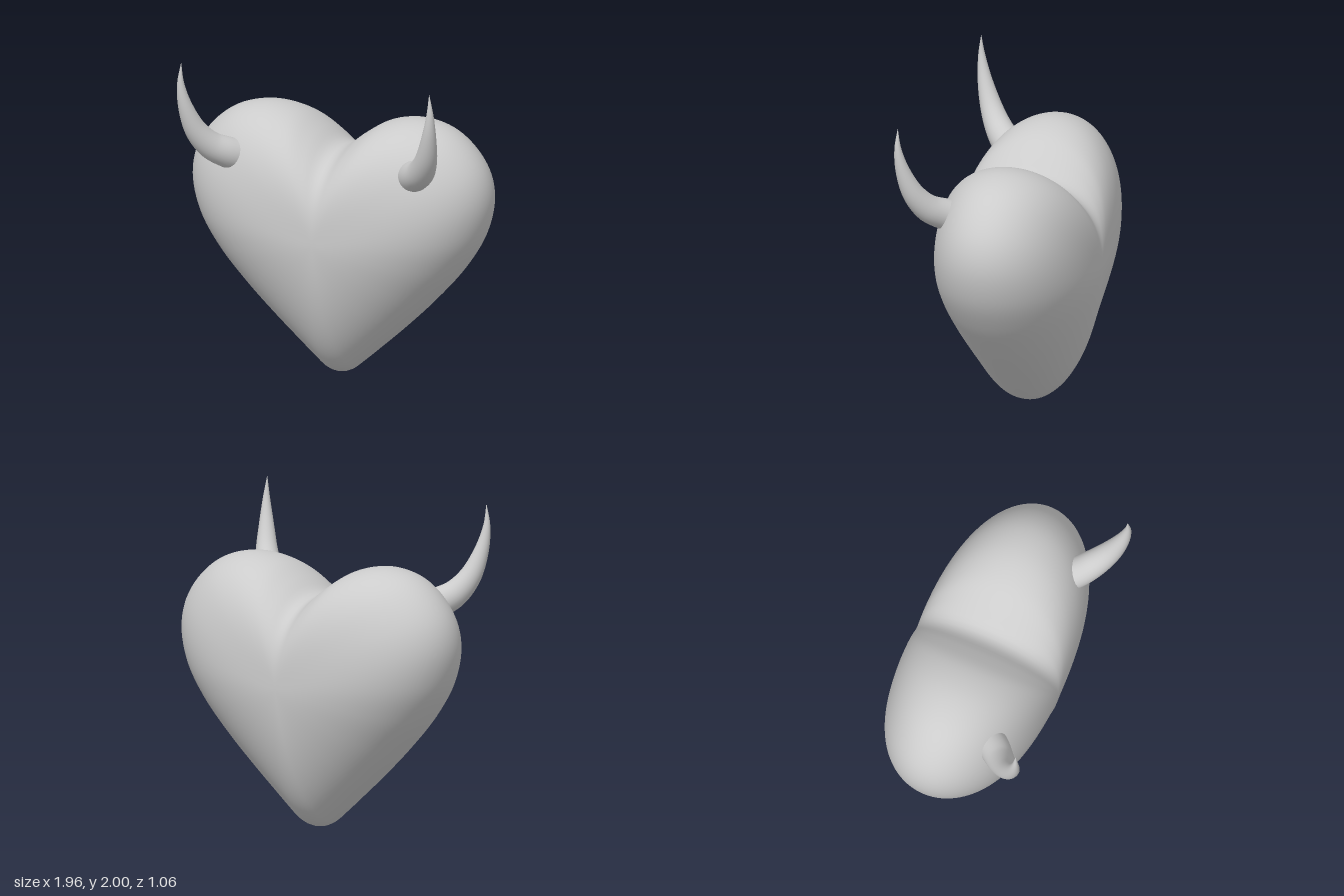
import * as THREE from 'three';
import { mergeVertices } from 'three/addons/utils/BufferGeometryUtils.js';

const material = new THREE.MeshStandardMaterial({ color: 0xcccccc });

// Right half of the heart outline, from the lower tip up to the cleft
const HALF = [
  [0, 0.005], [0.06, 0.02], [0.13, 0.075], [0.25, 0.18], [0.4, 0.315], [0.6, 0.51], [0.8, 0.74],
  [0.93, 0.96], [0.98, 1.18], [0.95, 1.35], [0.85, 1.5], [0.7, 1.61], [0.5, 1.655],
  [0.3, 1.62], [0.15, 1.53], [0.05, 1.453], [0, 1.438],
];

// Inflated heart: the outline shrinks to a front and a back pole
function heartGeometry() {
  const around = 160, rings = 72, cy = 0.92, cz = -0.05, depth = 0.475;
  const mirrored = HALF.slice(1, -1).reverse().map(([x, y]) => [-x, y]);
  const points = [...HALF, ...mirrored].map(([x, y]) => new THREE.Vector3(x, y, 0));
  const outline = new THREE.CatmullRomCurve3(points, true).getSpacedPoints(around).slice(0, around);

  const position = [0, cy, cz + depth];
  for (let j = 1; j < rings; j++) {
    const phi = (Math.PI * j) / rings;
    const s = Math.sin(phi);
    for (const p of outline) {
      // Fuller section in the lobes, leaner towards the lower tip
      const n = 1.75 + 0.95 * THREE.MathUtils.smoothstep(p.y, 0, 1.1);
      const z = depth * Math.sqrt(Math.max(0, 1 - s ** n)) * Math.sign(Math.round(Math.cos(phi) * 1e6));
      position.push(p.x * s, cy + (p.y - cy) * s, cz + z);
    }
  }
  position.push(0, cy, cz - depth);

  const index = [];
  const last = position.length / 3 - 1;
  const at = (j, i) => 1 + (j - 1) * around + (i % around);
  for (let i = 0; i < around; i++) {
    index.push(0, at(1, i), at(1, i + 1));
    for (let j = 1; j < rings - 1; j++) {
      const a = at(j, i), b = at(j, i + 1), c = at(j + 1, i), d = at(j + 1, i + 1);
      index.push(a, c, d, a, d, b);
    }
    index.push(at(rings - 1, i), last, at(rings - 1, i + 1));
  }
  const geometry = new THREE.BufferGeometry();
  geometry.setAttribute('position', new THREE.Float32BufferAttribute(position, 3));
  geometry.setIndex(index);
  geometry.computeVertexNormals();
  return geometry;
}

// Curved horn: a tube whose rings taper to a point
const HORN_PATH = [
  [0.58, 1.37, 0.22], [0.63, 1.4, 0.285], [0.705, 1.455, 0.36], [0.77, 1.56, 0.43],
  [0.815, 1.72, 0.487], [0.834, 1.87, 0.513], [0.83, 2, 0.515],
];

function hornGeometry(side) {
  const length = 48, radial = 28;
  const path = new THREE.CatmullRomCurve3(HORN_PATH.map(([x, y, z]) => new THREE.Vector3(side * x, y, z)));
  const tube = new THREE.TubeGeometry(path, length, 1, radial);
  const pos = tube.attributes.position;
  const v = new THREE.Vector3();
  for (let i = 0; i <= length; i++) {
    const t = i / length;
    const centre = path.getPointAt(t);
    const radius = 0.1 * (1 - t ** 1.35) + 0.0005;
    for (let k = 0; k <= radial; k++) {
      const id = i * (radial + 1) + k;
      v.fromBufferAttribute(pos, id).sub(centre).multiplyScalar(radius).add(centre);
      pos.setXYZ(id, v.x, v.y, v.z);
    }
  }
  tube.deleteAttribute('uv');
  tube.deleteAttribute('normal');
  const geometry = mergeVertices(tube, 1e-5);
  geometry.computeVertexNormals();
  return geometry;
}

export function createModel() {
  const model = new THREE.Group();
  model.name = 'hornedHeart';
  const add = (name, geometry) => {
    const mesh = new THREE.Mesh(geometry, material);
    mesh.name = name;
    model.add(mesh);
  };
  add('heart', heartGeometry());
  add('leftHorn', hornGeometry(1));
  add('rightHorn', hornGeometry(-1));
  return model;
}
